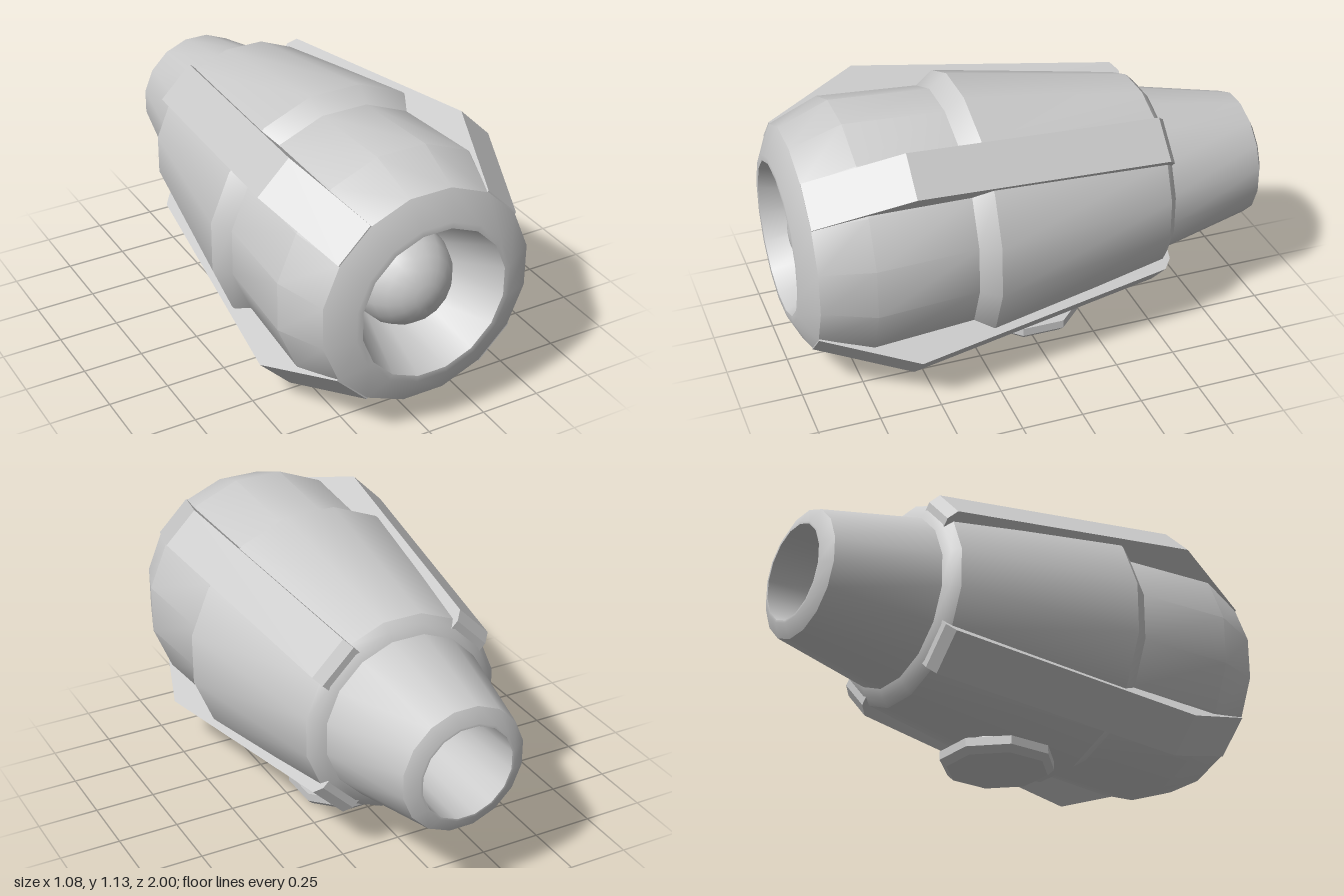
import * as THREE from 'three';
import { toCreasedNormals } from 'three/addons/utils/BufferGeometryUtils.js';

const AXIS_Y = 0.59; // height of the barrel axis
const material = new THREE.MeshStandardMaterial({ color: 0xcccccc });

function part(name, geometry) {
  const mesh = new THREE.Mesh(geometry, material);
  mesh.name = name;
  return mesh;
}

// Lathe whose facets (not corners) lie at the given radii
function facetedLathe(profile, sides, crease) {
  const k = 1 / Math.cos(Math.PI / sides);
  const points = profile.map(([r, h]) => new THREE.Vector2(r * k, h));
  const geometry = new THREE.LatheGeometry(points, sides);
  geometry.rotateY(Math.PI / sides);
  return toCreasedNormals(geometry, crease);
}

export function createModel() {
  const model = new THREE.Group();
  model.name = 'model';

  // Barrel shell: rear bore, neck, stepped body, front rim and funnel
  const shell = facetedLathe([
    [0, -0.5], [0.175, -0.5], [0.19, -1], [0.2, -1], [0.255, -0.97],
    [0.345, -0.55], [0.38, -0.535], [0.41, -0.505],
    [0.54, 0.255], [0.49, 0.33], [0.515, 0.74], [0.44, 0.945],
    [0.33, 1], [0.305, 1], [0.2, 0.7], [0, 0.7],
  ], 16, 0.5);
  shell.rotateX(Math.PI / 2);
  const barrel = part('barrel', shell);
  barrel.position.y = AXIS_Y;
  model.add(barrel);

  // Ball seated in the front funnel
  const ballGeometry = new THREE.SphereGeometry(0.203, 16, 12);
  ballGeometry.rotateY(Math.PI / 16).rotateX(Math.PI / 2);
  const ball = part('frontBall', ballGeometry);
  ball.position.set(0, AXIS_Y, 0.75);
  model.add(ball);

  // Four diagonal ridges, drawn as (z, radius) and extruded across their width
  const width = 0.184;
  const outline = [
    [-0.535, 0.34], [0.945, 0.4], [0.945, 0.445],
    [0.57, 0.618], [-0.505, 0.45], [-0.535, 0.41],
  ].map(([z, r]) => new THREE.Vector2(z, r));
  const ridgeGeometry = new THREE.ExtrudeGeometry(new THREE.Shape(outline), {
    depth: width, bevelEnabled: false,
  });
  ridgeGeometry.translate(0, 0, -width / 2).rotateY(-Math.PI / 2);
  const ridges = new THREE.Group();
  ridges.name = 'ridges';
  ridges.position.y = AXIS_Y;
  for (let i = 0; i < 4; i++) {
    const ridge = part('ridge', ridgeGeometry);
    ridge.rotation.z = Math.PI / 4 + i * Math.PI / 2;
    ridges.add(ridge);
  }
  model.add(ridges);

  // Octagonal foot with a chamfered lower edge
  const foot = part('foot', facetedLathe(
    [[0, 0], [0.19, 0], [0.215, 0.025], [0.215, 0.06], [0, 0.06]], 8, 0.5));
  foot.position.z = -0.04;
  model.add(foot);

  // Tapered stem joining foot and barrel
  const stem = part('footStem', facetedLathe(
    [[0.13, 0.05], [0.13, 0.072], [0.07, 0.11], [0.05, 0.18], [0, 0.18]], 16, 0.5));
  stem.position.z = -0.07;
  model.add(stem);

  return model;
}
